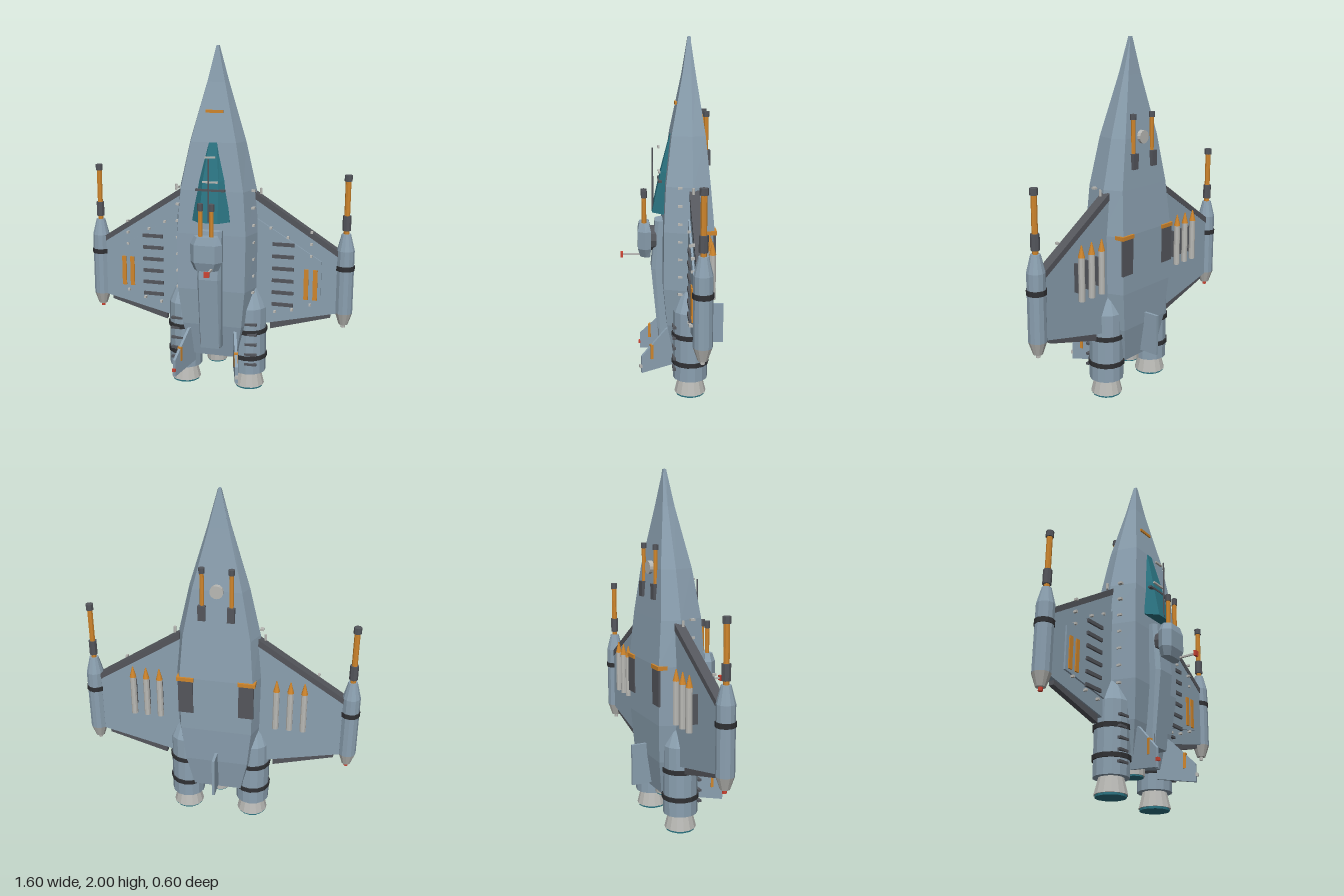
import * as THREE from 'three';

const mat = (name, color) => Object.assign(new THREE.MeshStandardMaterial({ color }), { name });

export function createModel() {
  const root = new THREE.Group();
  root.name = 'starfighter';
  const hullM = mat('hullBlueGrey', 0x8ba0b0), dark = mat('darkGrey', 0x54565c), black = mat('bandBlack', 0x303134),
    orange = mat('orange', 0xd0862c), teal = mat('tealGlass', 0x2b7482), light = mat('lightMetal', 0xb9b9b5), red = mat('red', 0xcc4433);

  const add = (name, geo, m, x = 0, y = 0, z = 0, parent = root) => {
    const mesh = new THREE.Mesh(geo, m);
    mesh.name = name;
    mesh.position.set(x, y, z);
    parent.add(mesh);
    return mesh;
  };
  const box = (name, m, w, h, d, x, y, z, parent) => add(name, new THREE.BoxGeometry(w, h, d), m, x, y, z, parent);
  // Faceted upright cylinder or cone between two heights
  const tube = (name, m, rTop, rBottom, y0, y1, x, z, sides = 12, parent = root) => {
    const g = new THREE.CylinderGeometry(rTop, rBottom, y1 - y0, sides).toNonIndexed();
    g.computeVertexNormals();
    return add(name, g, m, x, (y0 + y1) / 2, z, parent);
  };
  // Flat plate from an outline in x and y, from z0 to z1
  const plate = (name, m, pts, z0, z1, s = 1) => {
    const shape = new THREE.Shape(pts.map(([x, y]) => new THREE.Vector2(x * s, y)));
    return add(name, new THREE.ExtrudeGeometry(shape, { depth: z1 - z0, bevelEnabled: false }), m, 0, 0, z0);
  };
  // Six-sided body; rows ascend: y, front half width, front z, middle half width, middle z, back half width, back z
  const hexBody = (name, m, rows) => {
    const rings = rows.map(([y, f, zf, w, zm, b, zb]) =>
      [[-f, zf], [f, zf], [w, zm], [b, zb], [-b, zb], [-w, zm]].map(([x, z]) => [x, y, z]));
    const v = [];
    for (let k = 0; k < rings.length - 1; k++) for (let i = 0; i < 6; i++) {
      const j = (i + 1) % 6, a = rings[k], b = rings[k + 1];
      v.push(...a[i], ...a[j], ...b[j], ...a[i], ...b[j], ...b[i]);
    }
    const lo = rings[0], hi = rings[rings.length - 1];
    for (let i = 1; i < 5; i++) v.push(...lo[0], ...lo[i + 1], ...lo[i], ...hi[0], ...hi[i], ...hi[i + 1]);
    const g = new THREE.BufferGeometry();
    g.setAttribute('position', new THREE.Float32BufferAttribute(v, 3));
    g.computeVertexNormals();
    return add(name, g, m);
  };

  // Fuselage: y, half width, front z, back z
  hexBody('fuselage', hullM, [
    [0.2, 0.17, 0.0, -0.18], [0.4, 0.22, 0.04, -0.21], [0.62, 0.248, 0.06, -0.222], [0.95, 0.252, 0.058, -0.222],
    [1.2, 0.228, 0.045, -0.2], [1.47, 0.165, 0.012, -0.175], [1.8, 0.064, -0.053, -0.125], [2, 0.008, -0.083, -0.097],
  ].map(([y, w, zf, zb]) => [y, w * 0.8, zf, w, -0.1, w * 0.82, zb]));
  box('noseStripe', orange, 0.1, 0.016, 0.012, 0, 1.64, -0.018);

  // Canopy with frame bars
  hexBody('canopy', teal, [
    [1.03, 0.055, 0.118, 0.11, 0.06, 0.11, 0.02], [1.26, 0.045, 0.068, 0.08, 0.03, 0.08, 0.0], [1.47, 0.022, 0.014, 0.03, 0.0, 0.03, -0.02],
  ]);
  tube('canopyRod', dark, 0.005, 0.005, 1.03, 1.39, 0, 0.113, 6);
  box('canopyFrame', dark, 0.17, 0.012, 0.02, 0, 1.21, 0.073);
  box('canopyHandle', light, 0.09, 0.01, 0.012, 0, 1.255, 0.075);
  box('canopyHandle', light, 0.06, 0.01, 0.012, 0, 1.395, 0.078);

  // Raised spine and twin gun turret
  hexBody('spine', hullM, [
    [0.275, 0.055, 0.085, 0.062, 0.07, 0.062, 0.0], [0.7, 0.055, 0.125, 0.07, 0.1, 0.07, 0.03], [0.98, 0.05, 0.1, 0.07, 0.08, 0.07, 0.03],
  ]);
  for (const s of [-1, 1]) plate('spineTrim', dark, [[0.05, 0.28], [0.058, 0.28], [0.068, 0.74], [0.06, 0.74]], 0.06, 0.083, s);
  const base = tube('turretBase', dark, 0.075, 0.075, -0.025, 0.025, 0, 0.12);
  base.position.y = 0.87;
  base.rotation.x = Math.PI / 2;
  hexBody('turret', hullM, [
    [0.77, 0.045, 0.185, 0.07, 0.155, 0.06, 0.13], [0.82, 0.06, 0.2, 0.092, 0.16, 0.075, 0.125],
    [0.92, 0.06, 0.2, 0.092, 0.16, 0.075, 0.125], [0.965, 0.045, 0.19, 0.07, 0.16, 0.06, 0.135],
  ]);
  for (const s of [-1, 1]) {
    tube('turretBarrel', orange, 0.013, 0.013, 0.95, 1.13, s * 0.032, 0.163, 8);
    tube('turretMuzzle', dark, 0.017, 0.017, 1.11, 1.15, s * 0.032, 0.163, 8);
  }
  box('probeRod', light, 0.01, 0.01, 0.1, 0.04, 0.785, 0.235);
  box('probeTip', red, 0.03, 0.03, 0.014, 0.04, 0.785, 0.292);

  for (const s of [-1, 1]) {
    const tipM = s < 0 ? red : light;

    // Wing, edges and raised panel
    plate('wing', hullM, [[0.18, 0.4], [0.25, 0.39], [0.72, 0.5], [0.72, 0.84], [0.24, 1.15], [0.18, 1.17]], -0.132, -0.083, s);
    plate('wingLeadingEdge', dark, [[0.22, 1.145], [0.71, 0.83], [0.71, 0.865], [0.22, 1.185]], -0.135, -0.08, s);
    plate('wingFlap', dark, [[0.32, 0.365], [0.67, 0.465], [0.67, 0.505], [0.32, 0.42]], -0.124, -0.092, s);
    plate('wingPanel', hullM, [[0.24, 0.49], [0.615, 0.56], [0.615, 0.8], [0.24, 1.03]], -0.085, -0.072, s);
    for (let i = 0; i < 6; i++) box('wingSlot', dark, 0.126, 0.02, 0.014, s * 0.395, 0.888 - i * 0.072, -0.068);
    for (const x of [0.53, 0.582]) box('wingMarking', orange, 0.026, 0.18, 0.008, s * x, 0.66, -0.069);
    for (const [x, y] of [[0.555, 0.97], [0.555, 0.9], [0.555, 0.83], [0.555, 0.54], [0.45, 0.5], [0.35, 0.48], [0.32, 0.98], [0.42, 0.93]])
      box('rivet', light, 0.013, 0.013, 0.02, s * x, y, -0.072);
    for (let i = 0; i < 8; i++) box('hullRivet', light, 0.02, 0.012, 0.025, s * 0.225, 0.5 + i * 0.1, -0.03);
    tube('rootSensor', light, 0.008, 0.008, 1.17, 1.205, s * 0.255, -0.1, 6);

    // Wing tip pod with gun
    const px = s * 0.745, pz = -0.108;
    tube('podBody', hullM, 0.05, 0.05, 0.5, 0.87, px, pz);
    tube('podNose', hullM, 0.026, 0.05, 0.87, 0.965, px, pz);
    tube('podTail', light, 0.05, 0.026, 0.43, 0.5, px, pz);
    tube('podTip', tipM, 0.012, 0.012, 0.41, 0.43, px, pz, 8);
    tube('podBand', black, 0.054, 0.054, 0.754, 0.782, px, pz);
    tube('podGunBarrel', orange, 0.016, 0.016, 0.96, 1.28, px, pz, 8);
    tube('podGunCollar', dark, 0.024, 0.024, 0.985, 1.07, px, pz, 8);
    tube('podGunMuzzle', dark, 0.022, 0.022, 1.265, 1.3, px, pz, 8);

    // Missiles under the wing
    for (const x of [0.335, 0.413, 0.49]) {
      tube('missileBody', light, 0.018, 0.018, 0.66, 0.9, s * x, -0.18, 10);
      tube('missileNose', orange, 0.003, 0.019, 0.9, 0.965, s * x, -0.18, 10);
      box('missilePylon', dark, 0.012, 0.16, 0.045, s * x, 0.78, -0.148);
    }

    // Main engine
    const ex = s * 0.198, ez = -0.09;
    tube('engineBody', hullM, 0.098, 0.098, 0.1, 0.5, ex, ez, 14);
    tube('engineShoulder', hullM, 0.045, 0.098, 0.5, 0.62, ex, ez, 14);
    for (const y of [0.2, 0.36]) tube('engineBand', black, 0.105, 0.105, y - 0.013, y + 0.013, ex, ez, 14);
    tube('engineNozzle', light, 0.068, 0.09, 0.012, 0.1, ex, ez, 14);
    tube('engineGlow', teal, 0.083, 0.083, 0, 0.012, ex, ez, 14);
    for (let i = 0; i < 5; i++) box('engineVent', dark, 0.07, 0.013, 0.02, s * 0.225, 0.165 + i * 0.062, 0.003);

    // Splayed tail fin
    const fin = new THREE.Group();
    fin.name = 'tailFin';
    fin.position.set(s * 0.128, 0, 0);
    fin.rotation.y = s * 0.3;
    root.add(fin);
    const outline = new THREE.Shape([[-0.02, 0.15], [0.196, 0.12], [0.196, 0.22], [0.05, 0.365], [-0.02, 0.4]].map(p => new THREE.Vector2(...p)));
    const finGeo = new THREE.ExtrudeGeometry(outline, { depth: 0.016, bevelEnabled: false }).rotateY(-Math.PI / 2);
    add('finBlade', finGeo, hullM, 0.008, 0, 0, fin);
    box('finStripe', orange, 0.024, 0.085, 0.016, 0, 0.24, 0.135, fin);
    box('finTip', tipM, 0.018, 0.018, 0.014, 0, 0.16, 0.2, fin);

    // Rear-face gun and vent
    tube('dorsalBarrel', orange, 0.012, 0.012, 1.36, 1.58, s * 0.08, -0.182, 8);
    tube('dorsalMuzzle', dark, 0.017, 0.017, 1.57, 1.6, s * 0.08, -0.182, 8);
    box('dorsalMount', dark, 0.042, 0.085, 0.035, s * 0.08, 1.345, -0.187);
    box('ventPlate', dark, 0.085, 0.21, 0.012, s * 0.172, 0.835, -0.222);
    box('ventLip', orange, 0.095, 0.022, 0.018, s * 0.172, 0.945, -0.224);
    box('ventLipSide', orange, 0.014, 0.022, 0.06, s * 0.216, 0.945, -0.198);
  }

  // Rear sensor disc, keel fin and centre thruster
  const disc = tube('sensorDisc', light, 0.037, 0.037, -0.015, 0.015, 0, -0.18, 14);
  disc.position.y = 1.47;
  disc.rotation.x = Math.PI / 2;
  box('keelFin', hullM, 0.016, 0.24, 0.12, 0, 0.342, -0.242);
  tube('centreNozzle', light, 0.06, 0.06, 0.15, 0.21, 0, -0.09, 14);
  tube('centreGlow', teal, 0.054, 0.054, 0.142, 0.15, 0, -0.09, 14);
  return root;
}
